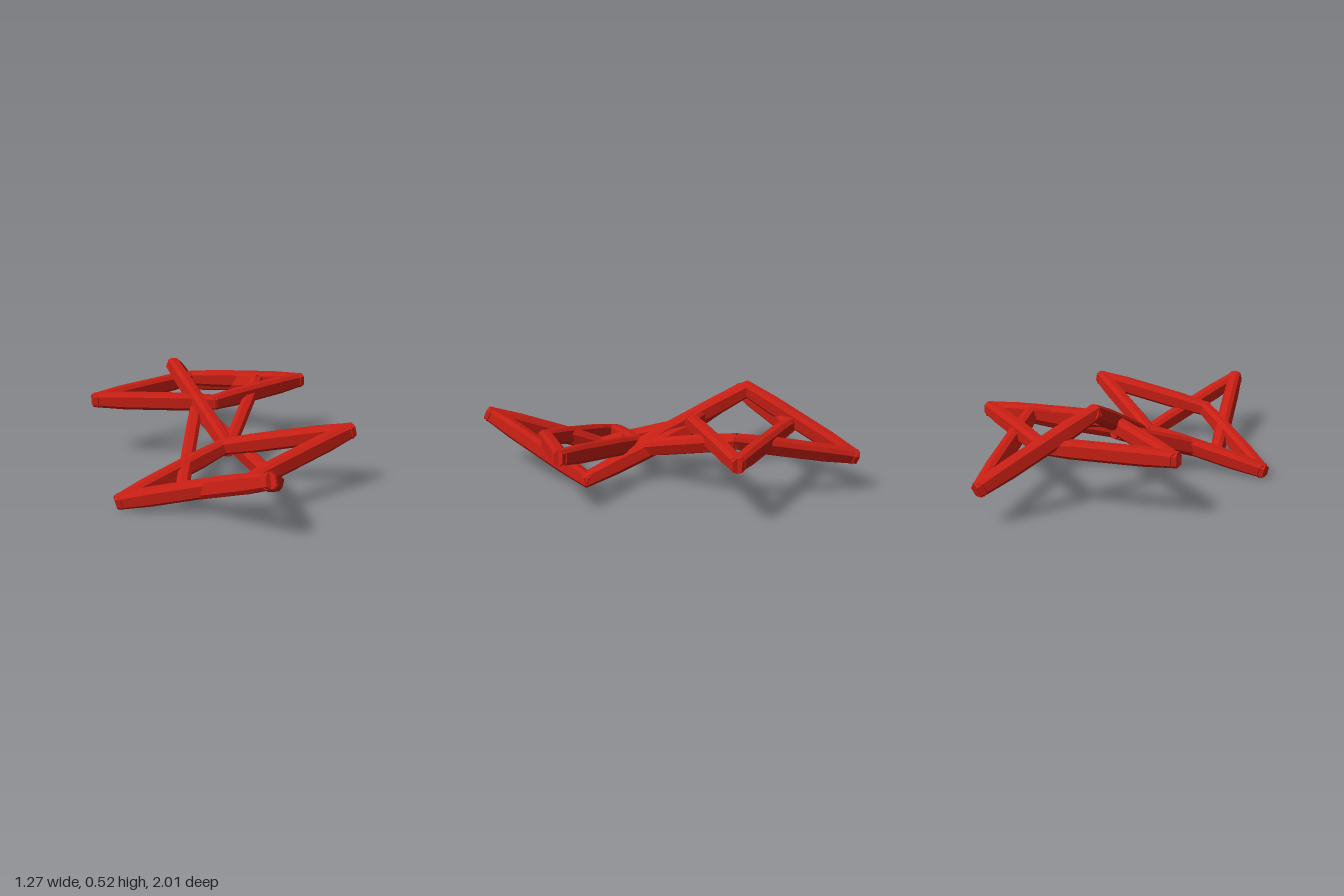
import * as THREE from 'three';

const material = new THREE.MeshStandardMaterial({ color: 0xc81f14, flatShading: true });

// Chamfered bar cross-section: half width, half height
const W = 0.035, H = 0.046;
const section = new THREE.Shape([
  [W, -0.028], [W, 0.028], [0.017, H], [-0.017, H],
  [-W, 0.028], [-W, -0.028], [-0.017, -H], [0.017, -H],
].map(([x, y]) => new THREE.Vector2(x, y)));

// Bar from a to b, slightly slimmer at the ends, with its tall side along the normal
function bar(a, b, normal) {
  const over = 0.02;
  const dir = b.clone().sub(a);
  const length = dir.length() + 2 * over;
  dir.normalize();
  const geometry = new THREE.ExtrudeGeometry(section, { depth: length, steps: 4, bevelEnabled: false });
  geometry.translate(0, 0, -length / 2);
  const p = geometry.attributes.position;
  for (let i = 0; i < p.count; i++) {
    if (Math.abs(p.getZ(i)) > length * 0.49) {
      p.setXY(i, p.getX(i) * 0.92, p.getY(i) * 0.8);
    }
  }
  geometry.computeVertexNormals();
  const side = normal.clone().cross(dir).normalize();
  const up = dir.clone().cross(side);
  const mesh = new THREE.Mesh(geometry, material);
  mesh.quaternion.setFromRotationMatrix(new THREE.Matrix4().makeBasis(side, up, dir));
  mesh.position.copy(a).add(b).multiplyScalar(0.5);
  return mesh;
}

// Four-bar loop: two sharp tips and two blunt side corners, folded across the corners
function loop(name, tips, corners) {
  const group = new THREE.Group();
  group.name = name;
  const [c0, c1] = corners.map((c) => new THREE.Vector3(...c));
  tips.forEach((t, i) => {
    const tip = new THREE.Vector3(...t);
    const normal = c0.clone().sub(tip).cross(c1.clone().sub(tip)).normalize();
    [c0, c1].forEach((corner, j) => {
      const mesh = bar(tip, corner, normal);
      mesh.name = `${name}Bar${i * 2 + j + 1}`;
      group.add(mesh);
    });
  });
  return group;
}

export function createModel() {
  const model = new THREE.Group();
  model.name = 'linkedLoops';
  model.add(
    // Wide loops lying across x
    loop('frontWideLoop',
      [[-0.60, 0.042, 0.39], [0.55, 0.31, 0.455]],
      [[-0.02, 0.185, 0.17], [-0.04, 0.19, 0.67]]),
    loop('backWideLoop',
      [[-0.575, 0.328, -0.36], [0.60, 0.333, -0.40]],
      [[0.02, 0.33, -0.63], [0.02, 0.33, -0.135]]),
    // Long folded loops along z, hooked through each other at the middle
    loop('frontLongLoop',
      [[-0.05, 0.305, 0.965], [-0.075, 0.29, -0.16]],
      [[-0.305, 0.062, 0.41], [0.19, 0.052, 0.40]]),
    loop('backLongLoop',
      [[0.09, 0.205, -0.965], [0.01, 0.17, 0.16]],
      [[-0.135, 0.475, -0.41], [0.335, 0.35, -0.375]]),
  );
  return model;
}
